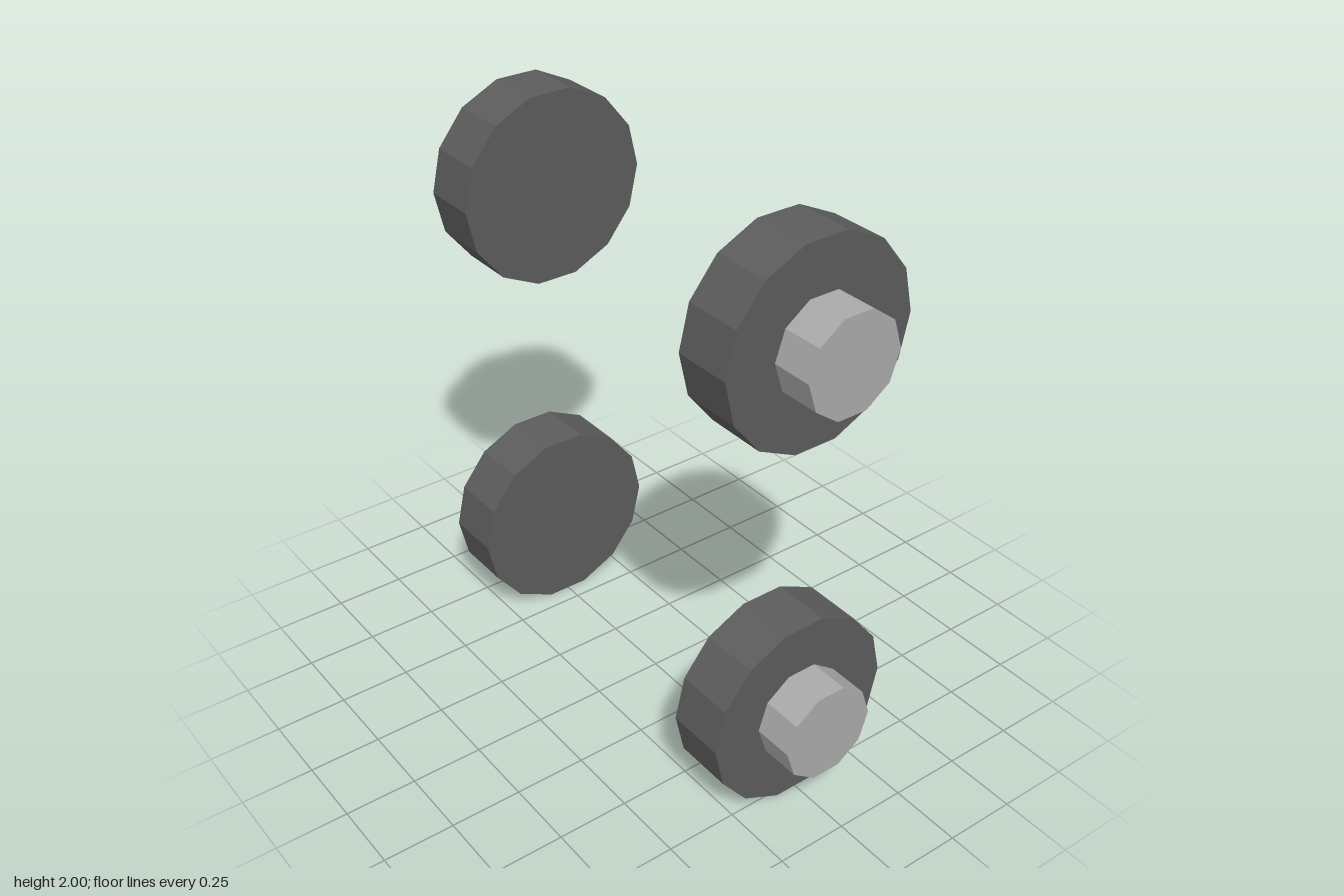
import * as THREE from 'three';

export function createModel() {
  const model = new THREE.Group();
  const tyreMat = new THREE.MeshStandardMaterial({ color: 0x5c5c5c });
  const hubMat = new THREE.MeshStandardMaterial({ color: 0xaaaaaa });
  tyreMat.name = 'dark grey';
  hubMat.name = 'light grey';

  // faceted disc lying along x, from x0 to x1
  const disc = (radius, sides, x0, x1) =>
    new THREE.CylinderGeometry(radius, radius, x1 - x0, sides)
      .rotateZ(Math.PI / 2)
      .translate((x0 + x1) / 2, 0, 0)
      .toNonIndexed();

  const tyreGeo = disc(0.342, 14, 0.565, 0.77);
  const hubGeo = disc(0.169, 10, 0.765, 0.91);
  tyreGeo.computeVertexNormals(); // flat facets
  hubGeo.computeVertexNormals();

  // four wheels: upper and lower, left and right, hubs facing outward
  for (const [level, y] of [['upper', 1.667], ['lower', 0.333]]) {
    for (const [side, turn] of [['Left', 0], ['Right', Math.PI]]) {
      const wheel = new THREE.Group();
      wheel.name = `${level}${side}Wheel`;
      const tyre = new THREE.Mesh(tyreGeo, tyreMat);
      tyre.name = 'tyre';
      const hub = new THREE.Mesh(hubGeo, hubMat);
      hub.name = 'hub';
      wheel.add(tyre, hub);
      wheel.position.y = y;
      wheel.rotation.y = turn;
      model.add(wheel);
    }
  }
  return model;
}
